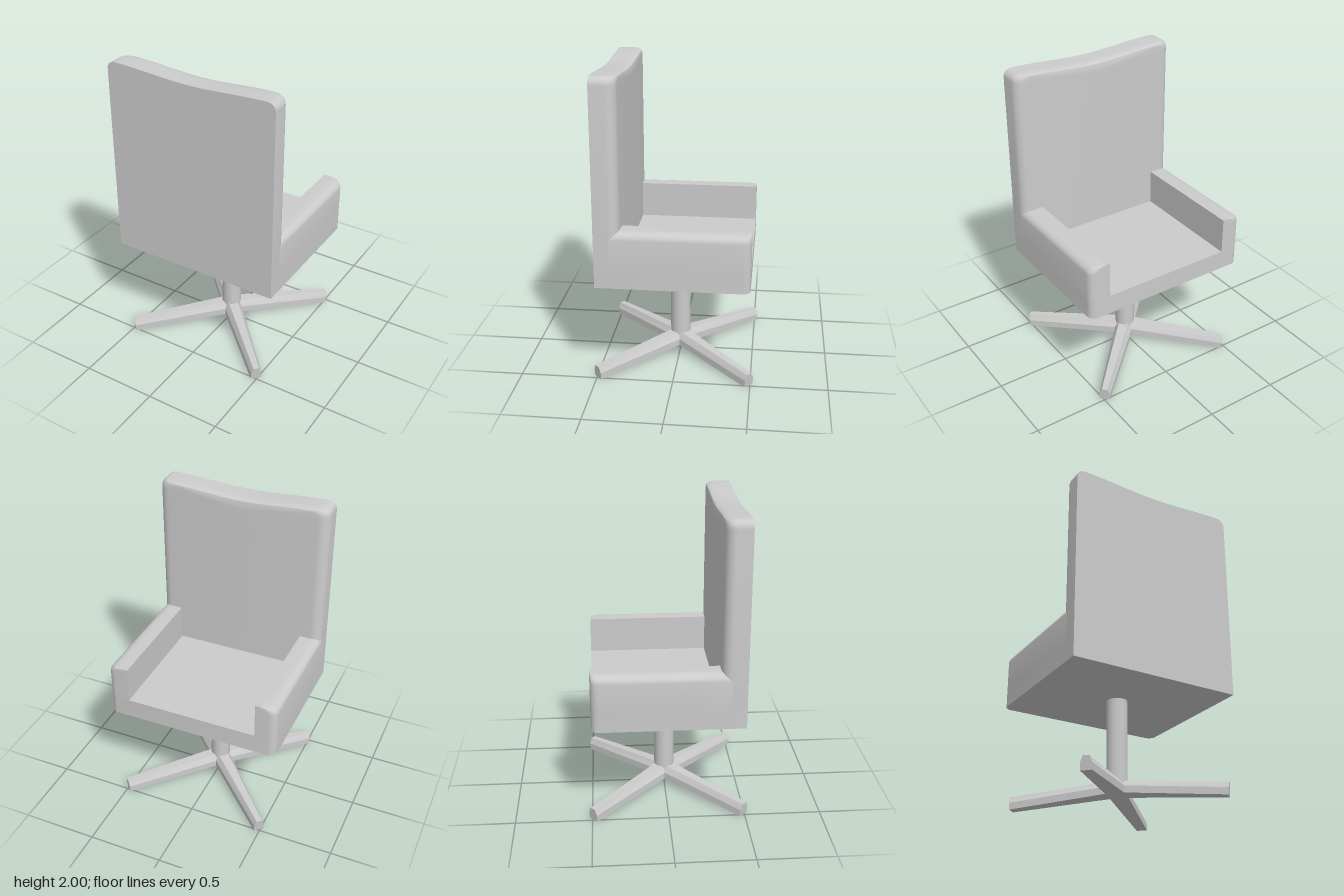
import * as THREE from 'three';
import { toCreasedNormals } from 'three/addons/utils/BufferGeometryUtils.js';

const material = new THREE.MeshStandardMaterial({ color: 0xcccccc });
const HALF = 0.58, BASE_Y = 0.68, SEAT_Y = 0.81, ARM_Y = 1.05;

// Closed solid through equal-length rings of [x, y, z], capped at both ends
function loft(rings, crease = 0.6) {
  const n = rings[0].length;
  const tris = [];
  for (let r = 0; r < rings.length - 1; r++) {
    for (let i = 0; i < n; i++) {
      const j = (i + 1) % n;
      const a = rings[r][i], b = rings[r][j], c = rings[r + 1][j], d = rings[r + 1][i];
      tris.push([a, b, c], [a, c, d]);
    }
  }
  const centre = ring => [0, 1, 2].map(k => ring.reduce((s, p) => s + p[k], 0) / n);
  const first = rings[0], last = rings[rings.length - 1];
  const c0 = centre(first), c1 = centre(last);
  for (let i = 0; i < n; i++) {
    const j = (i + 1) % n;
    tris.push([c0, first[j], first[i]], [c1, last[i], last[j]]);
  }
  // Turn the faces outward if the rings ran the other way
  let volume = 0;
  for (const [a, b, c] of tris) {
    volume += a[0] * (b[1] * c[2] - b[2] * c[1]) + a[1] * (b[2] * c[0] - b[0] * c[2])
      + a[2] * (b[0] * c[1] - b[1] * c[0]);
  }
  if (volume < 0) tris.forEach(t => t.reverse());
  const geometry = new THREE.BufferGeometry();
  geometry.setAttribute('position', new THREE.Float32BufferAttribute(tris.flat(2), 3));
  return toCreasedNormals(geometry, crease);
}

// Quarter ellipse, from (cx + rx, cy) to (cx, cy + ry)
function quarter(cx, cy, rx, ry, steps = 6) {
  return Array.from({ length: steps + 1 }, (_, i) => {
    const t = (i / steps) * Math.PI / 2;
    return [cx + rx * Math.cos(t), cy + ry * Math.sin(t)];
  });
}

// Backrest: front silhouette with a dipped top, stacked along z with a soft inner rim
function backrestGeometry() {
  const ring = (z, inset, drop) => {
    const w = HALF - inset, top = 2 - drop;
    const corner = quarter(w - 0.05, top - 0.05, 0.05, 0.05);
    const pts = [[-w, SEAT_Y], [w, SEAT_Y], ...corner];
    for (let i = 1; i < 20; i++) {
      const u = 1 - i / 10;
      pts.push([u * (w - 0.05), top - 0.0125 * (1 + Math.cos(Math.PI * u))]);
    }
    pts.push(...corner.map(([x, y]) => [-x, y]).reverse());
    return pts.map(([x, y]) => [x, y, z]);
  };
  const rings = [ring(0.48, 0, 0)];
  for (let i = 0; i <= 8; i++) {
    const t = (i / 8) * Math.PI / 2;
    rings.push(ring(0.385 - 0.065 * Math.sin(t), 0.07 * (1 - Math.cos(t)), 0.016 * (1 - Math.cos(t))));
  }
  return loft(rings);
}

// Seat base: plan outline with rounded far corners
function seatGeometry() {
  const corner = quarter(HALF - 0.05, 0.44, 0.05, 0.05).map(([x, z]) => [x, -z]);
  const plan = [[-HALF, 0.48], [HALF, 0.48], ...corner,
    ...corner.map(([x, z]) => [-x, z]).reverse()];
  return loft([BASE_Y, SEAT_Y].map(y => plan.map(([x, z]) => [x, y, z])));
}

// Armrest: plan outline stacked upward, its outer top edge rolled in
function armGeometry(side) {
  const ring = (y, inset) => {
    const outer = HALF - inset;
    const corner = quarter(outer - 0.05, 0.44, 0.05, 0.05).map(([x, z]) => [x, -z]);
    return [[0.44, 0.385], [outer, 0.385], ...corner, [0.44, -0.49]]
      .map(([x, z]) => [side * x, y, z]);
  };
  const rings = [ring(SEAT_Y, 0)];
  for (let i = 0; i <= 6; i++) {
    const t = (i / 6) * Math.PI / 2;
    rings.push(ring(ARM_Y - 0.05 + 0.05 * Math.sin(t), 0.06 * (1 - Math.cos(t))));
  }
  return loft(rings);
}

// Foot: tapered bar with chamfered top, sloping down and out from the column
function footGeometry() {
  const ring = (x, y, w, lean) => [
    [-0.5, 0], [0.5, 0], [0.5, 0.045], [0.27, 0.085], [-0.27, 0.085], [-0.5, 0.045],
  ].map(([k, h]) => [x + lean * h, y + h, k * w]);
  return loft([ring(0, 0.055, 0.125, 0), ring(0.695, 0, 0.07, 0.1)], 0.3);
}

export function createModel() {
  const model = new THREE.Group();
  model.name = 'swivelArmchair';
  const add = (name, geometry) => {
    const mesh = new THREE.Mesh(geometry, material);
    mesh.name = name;
    model.add(mesh);
    return mesh;
  };

  add('backrest', backrestGeometry());
  add('seat', seatGeometry());
  add('leftArmrest', armGeometry(1));
  add('rightArmrest', armGeometry(-1));

  // Column under the seat
  const column = add('column', new THREE.CylinderGeometry(0.067, 0.067, 0.6, 32));
  column.position.y = 0.38;

  // Four diagonal feet
  const foot = footGeometry();
  for (let i = 0; i < 4; i++) {
    add('foot' + (i + 1), foot).rotation.y = Math.PI / 4 + i * Math.PI / 2;
  }
  return model;
}
